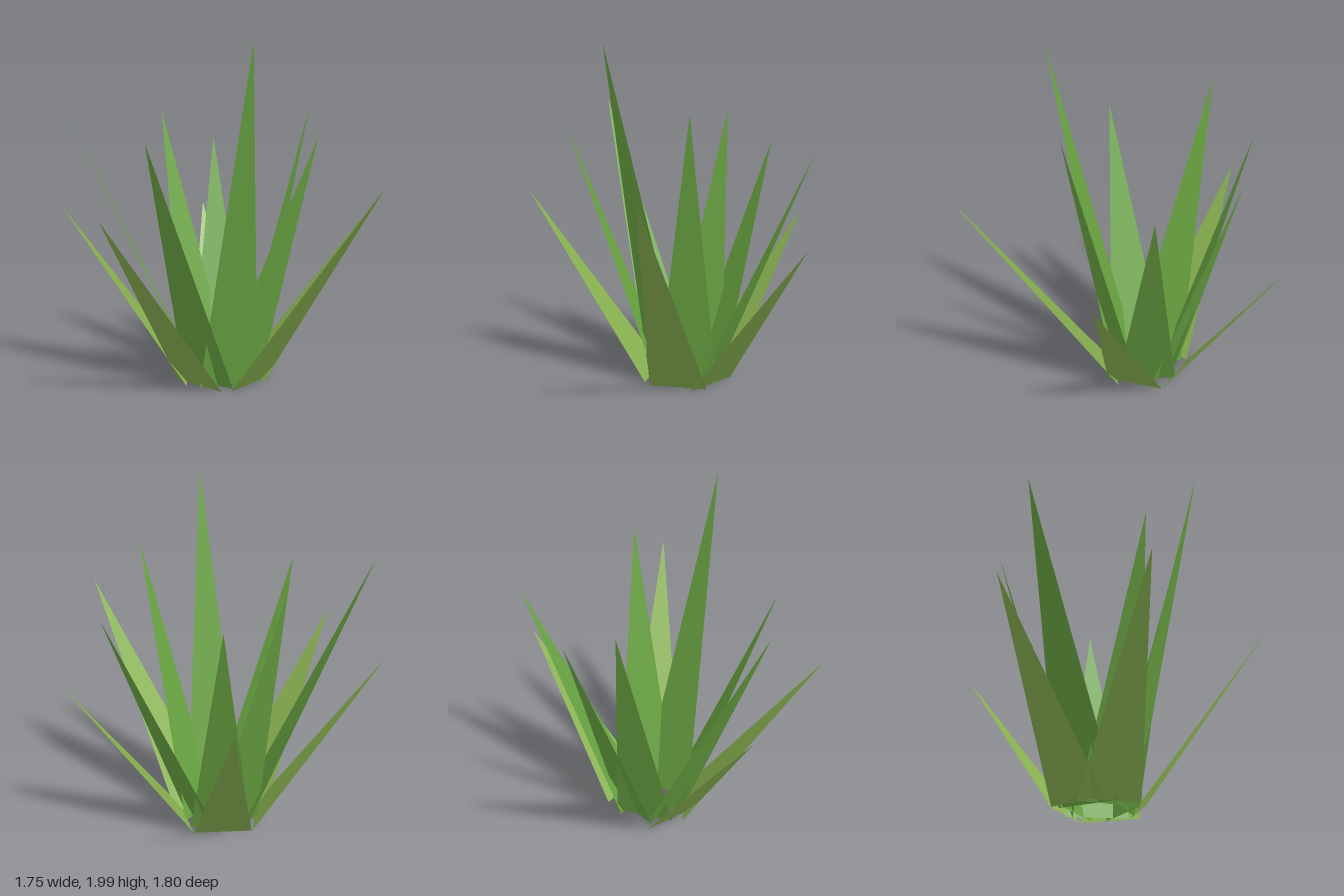
import * as THREE from 'three';

// Centre of the rosette on the ground
const CX = -0.024, CZ = -0.05;

// One flat blade: a triangle whose base lies square to its outward direction
function makeLeaf([x, y, z], radius, halfWidth, material, name) {
  const angle = Math.atan2(z - CZ, x - CX);
  const dx = Math.cos(angle), dz = Math.sin(angle);
  const bx = CX + dx * radius, bz = CZ + dz * radius;
  const geometry = new THREE.BufferGeometry();
  geometry.setAttribute('position', new THREE.Float32BufferAttribute([
    bx - dz * halfWidth, 0, bz + dx * halfWidth,
    bx + dz * halfWidth, 0, bz - dx * halfWidth,
    x, y, z,
  ], 3));
  geometry.computeVertexNormals();
  const leaf = new THREE.Mesh(geometry, material);
  leaf.name = name;
  return leaf;
}

export function createModel() {
  const plant = new THREE.Group();
  plant.name = 'spikyPlant';

  // Tips of each ring of leaves
  const rings = [
    {
      name: 'innerLeaf', radius: 0.14, halfWidth: 0.175, color: 0x6aa542,
      tips: [
        [-0.19, 1.54, -0.63], [0.15, 1.37, -0.63], [0.71, 1.38, -0.28], [0.34, 1.62, 0.33],
        [-0.085, 1.985, 0.54], [-0.605, 1.465, 0.325], [-0.87, 1.585, -0.26],
      ],
    },
    {
      name: 'outerLeaf', radius: 0.205, halfWidth: 0.17, color: 0x88b150,
      tips: [
        [0.18, 0.905, -0.9], [0.875, 0.915, 0], [0.5, 1.255, 0.9],
        [-0.88, 1.085, 0.4], [-0.88, 1.03, -0.405],
      ],
    },
  ];

  for (const { name, radius, halfWidth, color, tips } of rings) {
    const material = new THREE.MeshStandardMaterial({ color, flatShading: true, side: THREE.DoubleSide });
    const ring = new THREE.Group();
    ring.name = name + 'Ring';
    tips.forEach((tip, i) => ring.add(makeLeaf(tip, radius, halfWidth, material, name + (i + 1))));
    plant.add(ring);
  }
  return plant;
}
